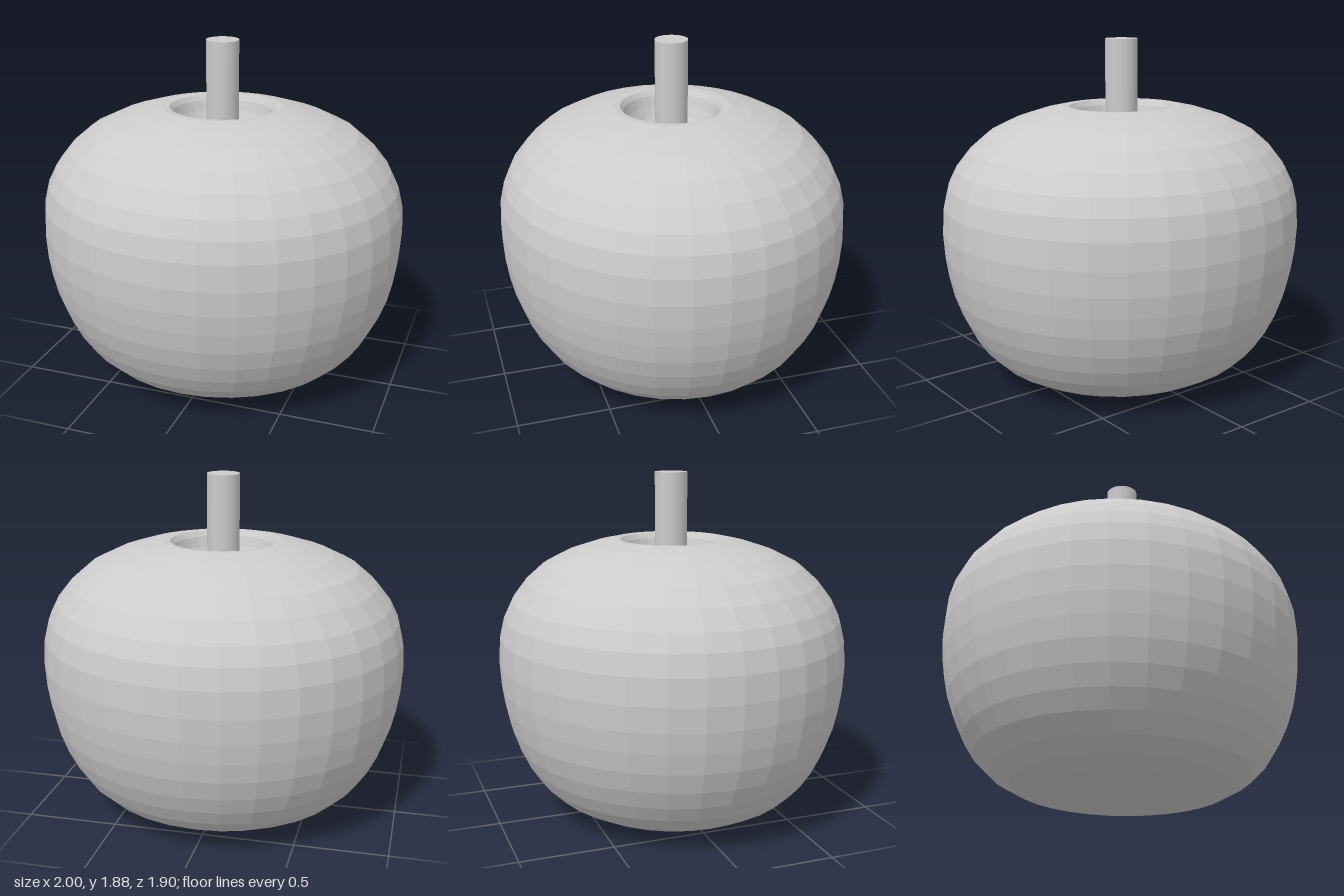
import * as THREE from 'three';

export function createModel() {
  const group = new THREE.Group();
  group.name = 'apple';

  // Fruit body: one profile from the base, round the side, over the rim and into the hollow
  const profile = [
    [0, 0.02], [0.12, 0.012], [0.2, 0], [0.32, 0.012], [0.46, 0.03], [0.6, 0.065],
    [0.71, 0.125], [0.8, 0.21], [0.86, 0.3], [0.91, 0.4], [0.95, 0.51],
    [0.975, 0.62], [0.992, 0.73], [1, 0.86], [0.992, 1], [0.965, 1.11],
    [0.92, 1.2], [0.84, 1.3], [0.74, 1.385], [0.6, 1.453], [0.45, 1.5],
    [0.33, 1.525], [0.29, 1.522], [0.27, 1.495], [0.252, 1.44], [0.225, 1.385],
    [0.185, 1.33], [0.135, 1.29], [0.07, 1.265], [0, 1.26],
  ].map(([r, y]) => new THREE.Vector2(r, y));
  const bodyGeometry = new THREE.LatheGeometry(profile, 32);
  bodyGeometry.scale(1, 1, 0.95); // slightly narrower front to back
  const body = new THREE.Mesh(
    bodyGeometry,
    new THREE.MeshStandardMaterial({ color: 0xcccccc, flatShading: true })
  );
  body.name = 'fruitBody';
  group.add(body);

  // Stem: smooth upright cylinder rooted in the hollow
  const bottom = 1.2, top = 1.885;
  const stem = new THREE.Mesh(
    new THREE.CylinderGeometry(0.088, 0.088, top - bottom, 32),
    new THREE.MeshStandardMaterial({ color: 0xcccccc })
  );
  stem.name = 'stem';
  stem.position.y = (top + bottom) / 2;
  group.add(stem);

  return group;
}
